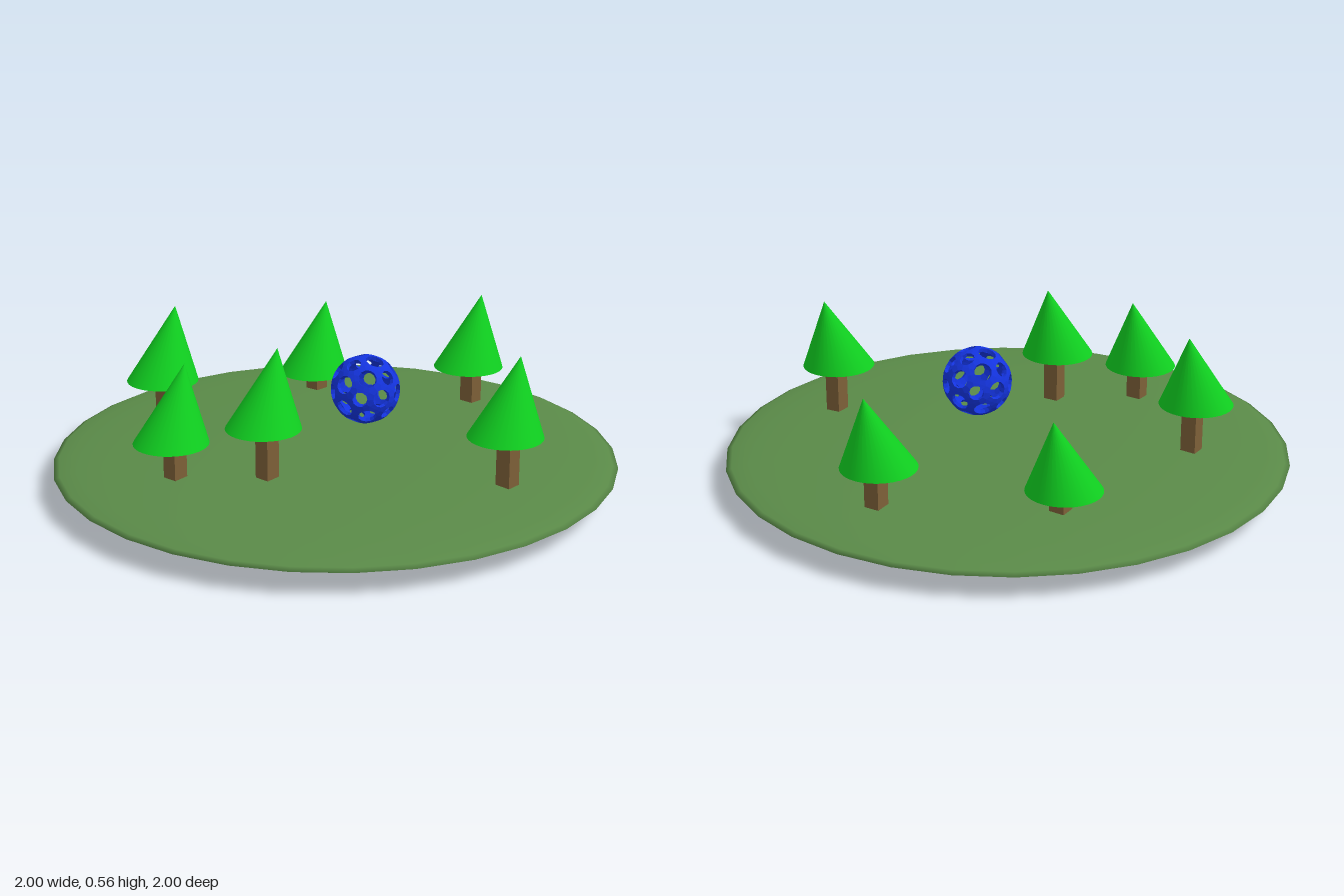
import * as THREE from 'three';

const paint = (color) => new THREE.MeshStandardMaterial({ color });

// Hollow ball: the 12 pentagons and 20 hexagons of a truncated icosahedron, each with a hole
function latticeBall(radius, thickness, holeScale) {
  const phi = (1 + Math.sqrt(5)) / 2;
  const tips = [];
  for (const a of [-1, 1]) for (const b of [-phi, phi]) {
    tips.push(new THREE.Vector3(0, a, b), new THREE.Vector3(a, b, 0), new THREE.Vector3(b, 0, a));
  }
  const near = (a, b) => a !== b && a.distanceTo(b) < 2.1;
  const corners = [];
  const centers = tips.map((t) => t.clone().normalize());
  tips.forEach((a, i) => tips.forEach((b, j) => {
    if (!near(a, b)) return;
    corners.push(a.clone().lerp(b, 1 / 3).normalize());
    tips.forEach((c, k) => {
      if (i < j && j < k && near(a, c) && near(b, c)) centers.push(a.clone().add(b).add(c).normalize());
    });
  }));

  const pos = [];
  const quad = (a, b, c, d) => [a, b, c, a, c, d].forEach((v) => pos.push(v.x, v.y, v.z));
  const at = (dir, r) => dir.clone().normalize().multiplyScalar(r);
  centers.forEach((n, index) => {
    const count = index < 12 ? 5 : 6;
    const ring = [...corners].sort((p, q) => q.dot(n) - p.dot(n)).slice(0, count);
    const u = ring[0].clone().addScaledVector(n, -ring[0].dot(n)).normalize();
    const v = n.clone().cross(u);
    const angle = (p) => Math.atan2(p.dot(v), p.dot(u));
    ring.sort((p, q) => angle(p) - angle(q));
    const mid = ring.reduce((s, p) => s.add(p), new THREE.Vector3()).divideScalar(count);
    // Split each side in two so the holes come out rounded
    const rim = [], hole = [];
    const reach = ring[0].distanceTo(mid) * holeScale;
    ring.forEach((p, i) => {
      for (const q of [p, p.clone().lerp(ring[(i + 1) % count], 0.5)]) {
        rim.push(q);
        hole.push(q.clone().sub(mid).setLength(reach).add(mid));
      }
    });
    const inner = radius - thickness;
    rim.forEach((p, i) => {
      const j = (i + 1) % rim.length;
      quad(at(p, radius), at(rim[j], radius), at(hole[j], radius), at(hole[i], radius));
      quad(at(rim[j], inner), at(p, inner), at(hole[i], inner), at(hole[j], inner));
      quad(at(hole[i], radius), at(hole[j], radius), at(hole[j], inner), at(hole[i], inner));
    });
  });
  const geometry = new THREE.BufferGeometry();
  geometry.setAttribute('position', new THREE.Float32BufferAttribute(pos, 3));
  geometry.computeVertexNormals();
  return geometry;
}

export function createModel() {
  const model = new THREE.Group();
  const add = (parent, name, geometry, material, x, y, z) => {
    const mesh = new THREE.Mesh(geometry, material);
    mesh.name = name;
    mesh.position.set(x, y, z);
    parent.add(mesh);
  };

  // Flattened round meadow
  const meadow = new THREE.SphereGeometry(1, 32, 16).scale(1, 0.047, 1);
  add(model, 'meadow', meadow, paint(0x5a8a48), 0, 0.08, 0);

  // Crown is a cone with its tip pushed towards +x over a level base
  const crown = new THREE.ConeGeometry(0.13, 0.265, 32).translate(0, 0.1325, 0);
  crown.applyMatrix4(new THREE.Matrix4().makeShear(0, 0, 0.072 / 0.265, 0, 0, 0));
  const trunk = new THREE.BoxGeometry(0.056, 0.2, 0.056).translate(0, -0.085, 0);
  const crownMaterial = paint(0x10d020);
  const trunkMaterial = paint(0x7d6038);

  // Trees: x, z and height of the crown base
  const trees = [
    [0.695, 0.055, 0.25], [0.405, -0.475, 0.185], [0.1, 0.672, 0.287],
    [-0.405, 0.038, 0.3], [-0.262, -0.61, 0.287], [-0.6, -0.208, 0.24],
  ];
  for (const [x, z, y] of trees) {
    const tree = new THREE.Group();
    tree.name = 'tree';
    tree.position.set(x, y, z);
    add(tree, 'crown', crown, crownMaterial, 0, 0, 0);
    add(tree, 'trunk', trunk, trunkMaterial, 0.008, 0, 0.008);
    model.add(tree);
  }

  // Floating lattice ball
  add(model, 'latticeBall', latticeBall(0.122, 0.013, 0.62), paint(0x1434e0), 0.058, 0.332, 0.09);
  return model;
}
